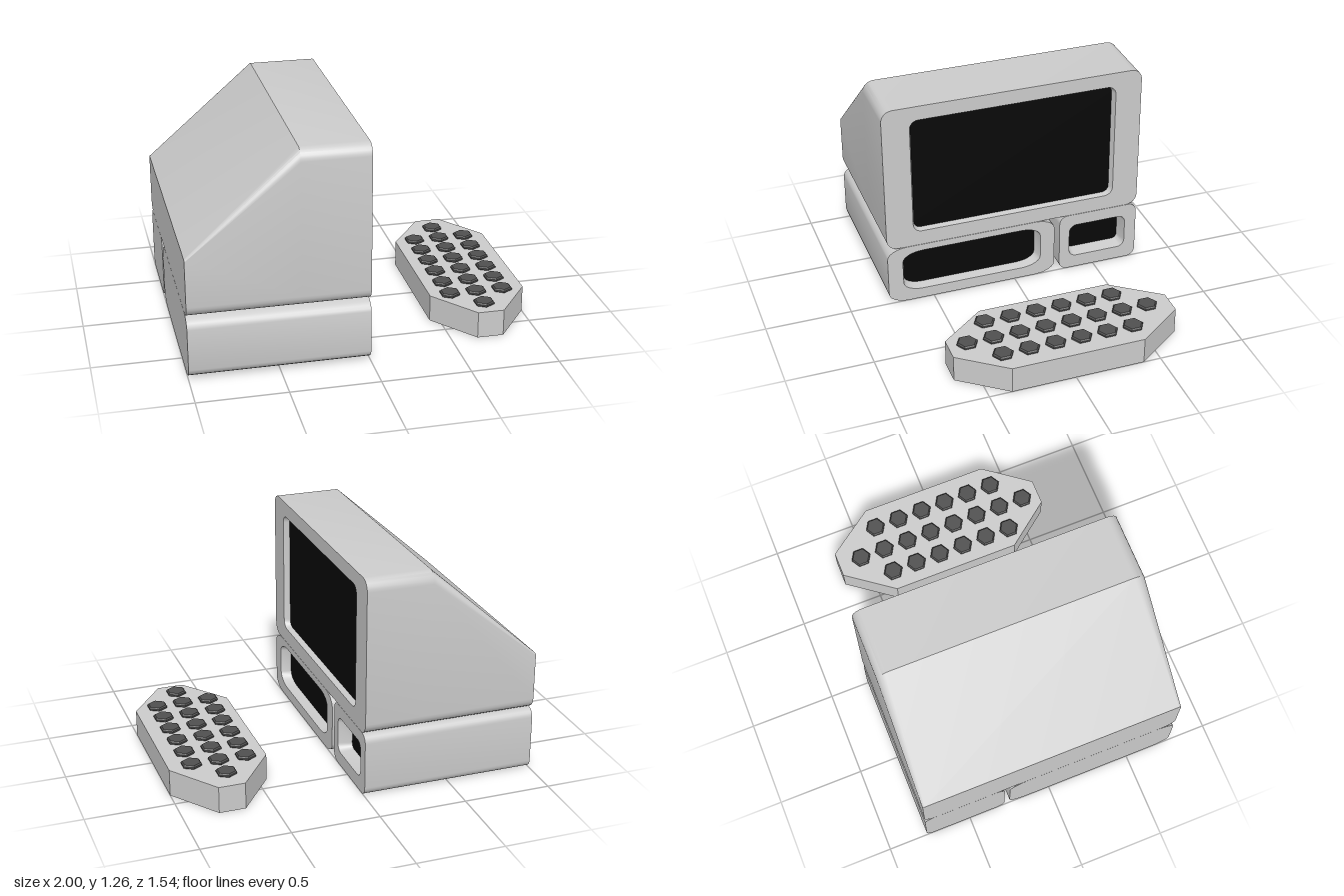
import * as THREE from 'three';
import { toCreasedNormals } from 'three/addons/utils/BufferGeometryUtils.js';

const grey = new THREE.MeshStandardMaterial({ color: 0xcccccc });
const black = new THREE.MeshStandardMaterial({ color: 0x080808 });
const keyDark = new THREE.MeshStandardMaterial({ color: 0x505050, flatShading: true });
const greyFlat = new THREE.MeshStandardMaterial({ color: 0xcccccc, flatShading: true });

// Rounded rectangle at depth x, counter-clockwise seen from +x.
// rz, ry are the corner radii; top scales the radii of the upper corners.
function section({ x, z, y, rz, ry = rz, top = 1 }) {
  const steps = 6, points = [];
  for (let q = 0; q < 4; q++) {
    const upper = q < 2, toNegZ = q === 0 || q === 3;
    const k = upper ? top : 1;
    const cz = toNegZ ? z[0] + rz * k : z[1] - rz * k;
    const cy = upper ? y[1] - ry * k : y[0] + ry * k;
    for (let i = 0; i <= steps; i++) {
      const a = (q + i / steps) * Math.PI / 2;
      points.push([x, cy + Math.sin(a) * ry * k, cz - Math.cos(a) * rz * k]);
    }
  }
  return points;
}

// Skin through sections ordered along the surface, with optional end caps.
function loft(specs, capBack, capFront) {
  const rings = specs.map(section), pos = [];
  const tri = (...corners) => corners.forEach((c) => pos.push(...c));
  const n = rings[0].length;
  const cap = (ring, flip) => {
    const mid = [0, 1, 2].map((k) => ring.reduce((s, p) => s + p[k], 0) / n);
    ring.forEach((p, i) => {
      const next = ring[(i + 1) % n];
      if (flip) tri(mid, next, p); else tri(mid, p, next);
    });
  };
  for (let r = 0; r + 1 < rings.length; r++) {
    const a = rings[r], b = rings[r + 1];
    for (let i = 0; i < n; i++) {
      const j = (i + 1) % n;
      tri(a[i], a[j], b[j]);
      tri(a[i], b[j], b[i]);
    }
  }
  if (capBack) cap(rings[0], true);
  if (capFront) cap(rings[rings.length - 1], false);
  const geometry = new THREE.BufferGeometry();
  geometry.setAttribute('position', new THREE.Float32BufferAttribute(pos, 3));
  return toCreasedNormals(geometry, 0.6);
}

function mesh(name, geometry, material) {
  const m = new THREE.Mesh(geometry, material);
  m.name = name;
  return m;
}

// Housing with a recessed dark panel in its +x face.
function unit(name, body, rim, panel) {
  const group = new THREE.Group();
  group.name = name;
  group.add(mesh(name + 'Housing', loft([...body, rim, panel], true, false), grey));
  group.add(mesh(name + 'Panel', loft([panel], false, true), black));
  return group;
}

function createKeyboard() {
  const group = new THREE.Group();
  group.name = 'keyboard';

  // Eight-sided slab; shape y becomes -z
  const outline = [[0.65, -0.675], [0.8, -0.675], [1, -0.4], [1, 0.37],
    [0.8, 0.635], [0.65, 0.635], [0.445, 0.37], [0.445, -0.4]];
  const shape = new THREE.Shape(outline.map(([x, z]) => new THREE.Vector2(x, -z)));
  const slab = new THREE.ExtrudeGeometry(shape, { depth: 0.155, bevelEnabled: false });
  slab.rotateX(-Math.PI / 2);
  group.add(mesh('keyboardSlab', slab, greyFlat));

  // Hexagonal keys with chamfered rims
  const profile = [[0.052, 0], [0.06, 0.006], [0.06, 0.015], [0.052, 0.022], [0, 0.022]]
    .map(([r, y]) => new THREE.Vector2(r, y));
  const keyGeometry = new THREE.LatheGeometry(profile, 6);
  const addKey = (x, z) => {
    const key = mesh('key', keyGeometry, keyDark);
    key.position.set(x, 0.155, z);
    group.add(key);
  };
  for (let row = 0; row < 6; row++) {
    for (const x of [0.56, 0.715, 0.87]) addKey(x, -0.383 + row * 0.152);
  }
  addKey(0.715, -0.535);
  addKey(0.715, 0.529);
  return group;
}

export function createModel() {
  const model = new THREE.Group();
  model.name = 'desktopComputer';

  // Monitor with a sloping rear
  const wide = { z: [-0.77, 0.77], y: [0.37, 1.265], rz: 0.065 };
  model.add(unit('monitor',
    [{ ...wide, x: -1, y: [0.37, 0.71], top: 0.2 }, { ...wide, x: -0.38 }, { ...wide, x: 0 }],
    { x: 0, z: [-0.613, 0.61], y: [0.46, 1.18], rz: 0.05 },
    { x: -0.035, z: [-0.6, 0.597], y: [0.467, 1.172], rz: 0.04 }));

  // Wide base unit with stretched corners
  const large = { z: [-0.25, 0.77], y: [0, 0.368], rz: 0.12, ry: 0.065 };
  model.add(unit('largeBaseUnit',
    [{ ...large, x: -1 }, { ...large, x: 0 }],
    { x: 0, z: [-0.162, 0.68], y: [0.065, 0.328], rz: 0.12, ry: 0.06 },
    { x: -0.06, z: [-0.143, 0.663], y: [0.073, 0.322], rz: 0.11, ry: 0.055 }));

  // Narrow base unit
  const small = { z: [-0.77, -0.283], y: [0, 0.368], rz: 0.05 };
  model.add(unit('smallBaseUnit',
    [{ ...small, x: -1 }, { ...small, x: 0 }],
    { x: 0, z: [-0.7, -0.345], y: [0.08, 0.295], rz: 0.045 },
    { x: -0.08, z: [-0.683, -0.363], y: [0.093, 0.281], rz: 0.03 }));

  model.add(createKeyboard());
  return model;
}
